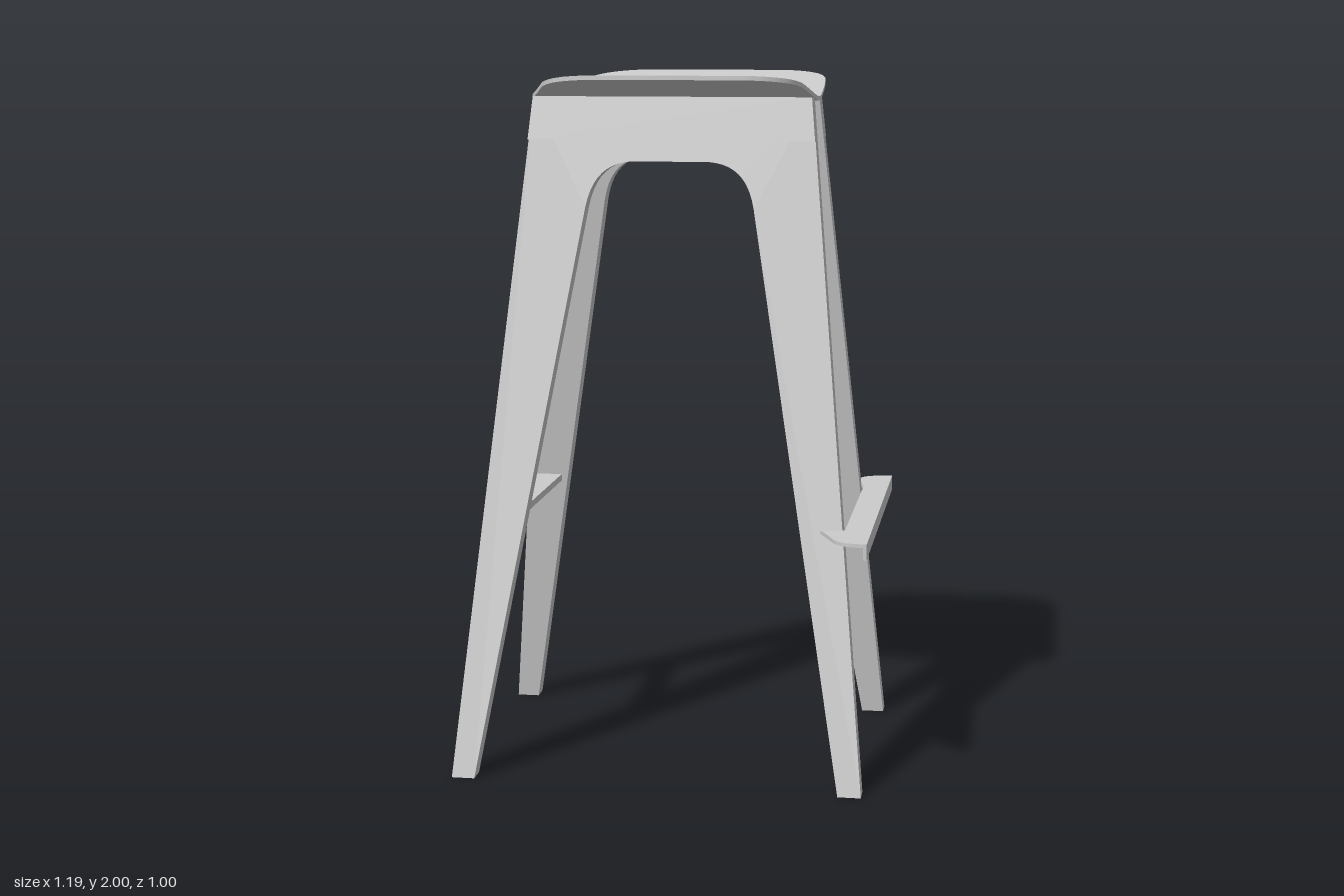
import * as THREE from 'three';
import { toCreasedNormals } from 'three/addons/utils/BufferGeometryUtils.js';

const material = new THREE.MeshStandardMaterial({ color: 0xcccccc });
const CX = -0.008, CZ = 0.008;   // middle of the leg frame
const LEAN = 0.171;              // inward lean of the leg panels per unit height

function part(name, geometry) {
  const mesh = new THREE.Mesh(geometry, material);
  mesh.name = name;
  return mesh;
}

function box(name, x0, x1, y0, y1, z0, z1) {
  const mesh = part(name, new THREE.BoxGeometry(x1 - x0, y1 - y0, z1 - z0));
  mesh.position.set((x0 + x1) / 2, (y0 + y1) / 2, (z0 + z1) / 2);
  return mesh;
}

// Extrude a front-facing shape between z0 and z1 (at y = 0) and lean it inward
function leaningPanel(shape, z0, z1) {
  const g = new THREE.ExtrudeGeometry(shape, { depth: z1 - z0, bevelEnabled: false, curveSegments: 10 });
  const p = g.attributes.position;
  for (let i = 0; i < p.count; i++) p.setZ(i, p.getZ(i) + z0 - LEAN * p.getY(i));
  return toCreasedNormals(g, 0.5);
}

// Half-width of a leg panel at height y
const halfWidth = (y) => 0.588 - 0.097 * y;

function archShape() {
  const top = 1.927, s = new THREE.Shape();
  s.moveTo(-0.588, 0);
  s.lineTo(-0.522, 0);
  s.lineTo(-0.242, 1.62);
  s.bezierCurveTo(-0.225, 1.71, -0.18, 1.745, -0.11, 1.75);
  s.lineTo(0.11, 1.75);
  s.bezierCurveTo(0.18, 1.745, 0.225, 1.71, 0.242, 1.62);
  s.lineTo(0.522, 0);
  s.lineTo(0.588, 0);
  s.lineTo(halfWidth(top), top);
  s.lineTo(-halfWidth(top), top);
  s.closePath();
  return s;
}

function apronShape() {
  const a = halfWidth(1.81), b = halfWidth(1.932);
  return new THREE.Shape([[-a, 1.81], [a, 1.81], [b, 1.932], [-b, 1.932]].map((q) => new THREE.Vector2(...q)));
}

// Cross block between the panels, with a gently arched underside
function blockGeometry(width) {
  const s = new THREE.Shape();
  s.moveTo(-0.105, 1.753);
  s.quadraticCurveTo(0, 1.777, 0.105, 1.753);
  s.lineTo(0.074, 1.925);
  s.lineTo(-0.074, 1.925);
  s.closePath();
  const g = new THREE.ExtrudeGeometry(s, { depth: width, bevelEnabled: false, curveSegments: 10 });
  g.translate(0, 0, -width / 2).rotateY(Math.PI / 2);
  return toCreasedNormals(g, 0.5);
}

// Thin seat, swept from side-to-side sections; it dips along the middle
function seatGeometry() {
  // distance from the middle, right-hand edge x, left-hand edge x
  const rows = [
    [0, -0.437, 0.4], [0.03, -0.433, 0.4], [0.07, -0.423, 0.399], [0.12, -0.407, 0.397],
    [0.2, -0.38, 0.394], [0.28, -0.354, 0.389], [0.33, -0.337, 0.384], [0.37, -0.315, 0.372],
    [0.4, -0.292, 0.354], [0.425, -0.26, 0.325], [0.44, -0.23, 0.295], [0.449, -0.2, 0.262],
    [0.452, -0.18, 0.235],
  ];
  const all = [...rows.slice(1).reverse().map(([z, a, b]) => [-z, a, b]), ...rows];
  const thick = 0.012;
  const rings = all.map(([z, a, b]) => {
    const y = 1.92 + Math.hypot(0.17 * z, 0.012);
    return [[a, y], [b, y], [b, y - thick], [a, y - thick]].map(([px, py]) => [px, py, z + CZ]);
  });
  const v = [];
  const quad = (a, b, c, d) => v.push(...a, ...b, ...c, ...a, ...c, ...d);
  for (let i = 0; i < rings.length - 1; i++) {
    const r = rings[i], n = rings[i + 1];
    for (let k = 0; k < 4; k++) quad(r[k], n[k], n[(k + 1) % 4], r[(k + 1) % 4]);
  }
  const first = rings[0], last = rings[rings.length - 1];
  quad(...first);
  quad(last[3], last[2], last[1], last[0]);
  const g = new THREE.BufferGeometry();
  g.setAttribute('position', new THREE.Float32BufferAttribute(v, 3));
  return toCreasedNormals(g, 0.7);
}

// Footrest plate: a bar with a hooked end around each leg
function footrestGeometry() {
  const s = new THREE.Shape();
  s.moveTo(0.59, -0.498);
  s.lineTo(0.59, 0.498);
  s.lineTo(0.565, 0.496);
  s.bezierCurveTo(0.5, 0.49, 0.495, 0.45, 0.48, 0.415);
  s.lineTo(0.444, 0.328);
  s.lineTo(0.515, 0.328);
  s.lineTo(0.515, -0.328);
  s.lineTo(0.444, -0.328);
  s.lineTo(0.48, -0.415);
  s.bezierCurveTo(0.495, -0.45, 0.5, -0.49, 0.565, -0.496);
  s.closePath();
  const g = new THREE.ExtrudeGeometry(s, { depth: 0.01, bevelEnabled: false, curveSegments: 10 });
  g.rotateX(-Math.PI / 2).translate(0, 0.725, 0);
  return toCreasedNormals(g, 0.5);
}

export function createModel() {
  const model = new THREE.Group();
  model.name = 'barStool';

  model.add(part('seat', seatGeometry()));

  // Front and back leg frames, each with an apron strip on its outer face
  for (const side of ['front', 'back']) {
    const frame = new THREE.Group();
    frame.name = side + 'Frame';
    frame.add(part(side + 'Legs', leaningPanel(archShape(), 0.395, 0.452)));
    frame.add(part(side + 'Apron', leaningPanel(apronShape(), 0.452, 0.467)));
    frame.position.set(CX, 0, CZ);
    if (side === 'back') frame.rotation.y = Math.PI;
    model.add(frame);
  }

  // Cross blocks under the seat
  for (const s of [-1, 1]) {
    const block = part(s < 0 ? 'rightCrossBlock' : 'leftCrossBlock', blockGeometry(0.05));
    block.position.set(CX + s * 0.13, 0, CZ);
    model.add(block);
  }

  // Stretcher on the right, footrest with a turned-down lip on the left
  model.add(box('stretcher', -0.497, -0.42, 0.735, 0.755, -0.265, 0.28));
  const footrest = new THREE.Group();
  footrest.name = 'footrest';
  footrest.add(part('footrestPlate', footrestGeometry()));
  footrest.add(box('footrestLip', 0.58, 0.59, 0.69, 0.73, -0.498, 0.498));
  model.add(footrest);

  return model;
}
